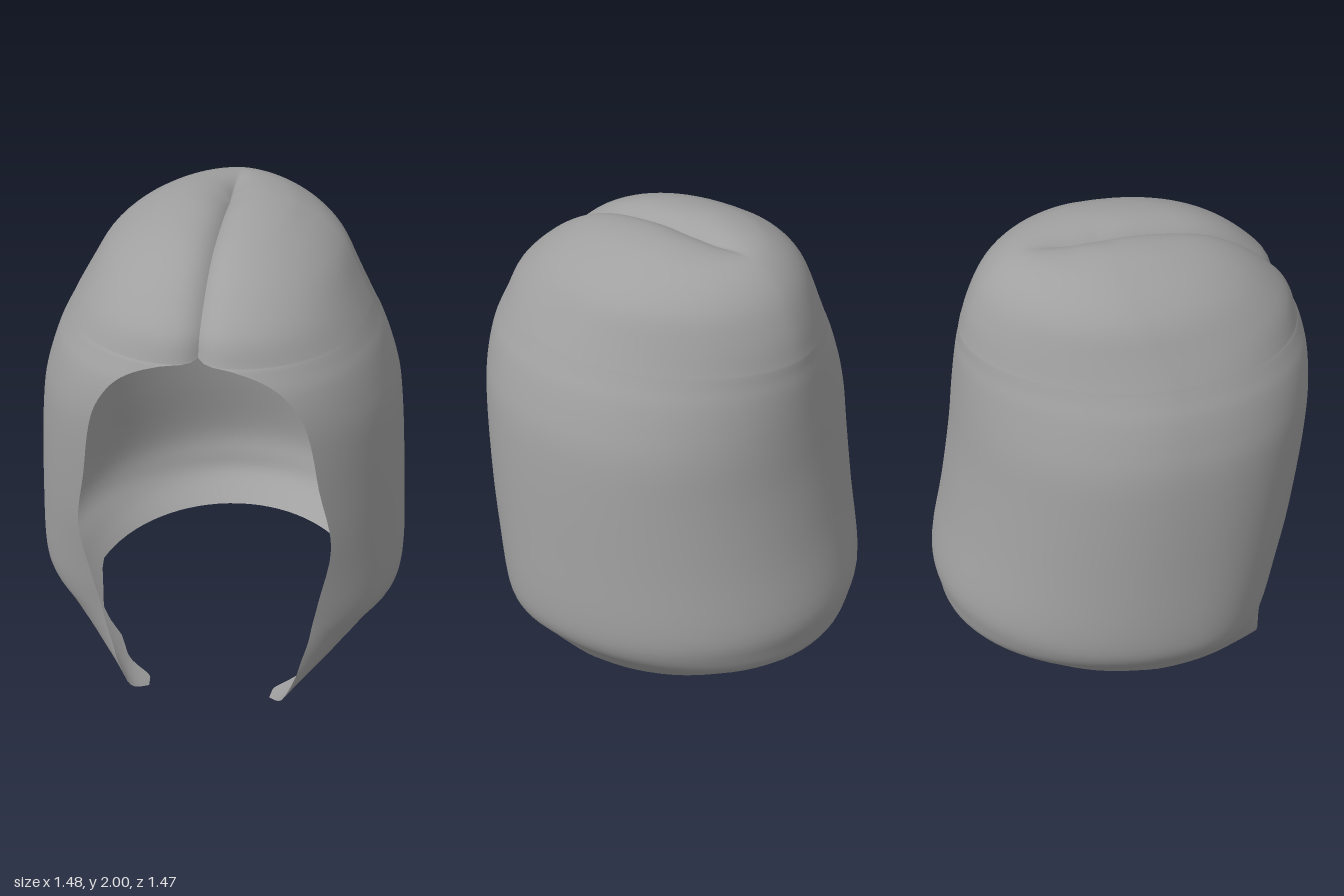
import * as THREE from 'three';

// Horizontal sections, bottom to top: y, half width, front z, back z, half width of face opening
const SECTIONS = [
  [0, .27, .50, -.50, .25], [.05, .38, .575, -.50, .31], [.15, .50, .565, -.50, .36],
  [.24, .58, .555, -.57, .385], [.33, .65, .55, -.69, .41], [.42, .72, .555, -.72, .425],
  [.55, .74, .57, -.735, .45], [.82, .73, .595, -.68, .495], [1.1, .715, .655, -.635, .45],
  [1.3, .695, .685, -.615, .42], [1.42, .665, .70, -.605, .385], [1.52, .63, .715, -.595, .32],
  [1.58, .60, .725, -.585, .24], [1.62, .58, .735, -.58, .13], [1.64, .57, .735, -.575, 0],
  [1.73, .52, .70, -.55, 0], [1.83, .46, .60, -.505, 0], [1.90, .385, .50, -.45, 0],
  [1.95, .30, .39, -.38, 0], [1.98, .23, .26, -.29, 0], [2, .13, .10, -.14, 0], [2, 0, -.03, -.03, 0],
];
// Lower hem height by depth: z, y
const HEM = [[-.8, .245], [-.05, .23], [0, .2], [.22, .15], [.28, .08], [.38, .05], [.5, 0], [.8, 0]];

const lerp = THREE.MathUtils.lerp;
const smooth = THREE.MathUtils.smoothstep;

// Smooth interpolation between sections at fractional index p
function sectionAt(p) {
  const last = SECTIONS.length - 1;
  const i = Math.min(Math.floor(p), last - 1), t = p - i;
  const [a, b, c, d] = [i - 1, i, i + 1, i + 2].map((k) => SECTIONS[Math.min(Math.max(k, 0), last)]);
  return b.map((_, k) => 0.5 * (2 * b[k] + (c[k] - a[k]) * t
    + (2 * a[k] - 5 * b[k] + 4 * c[k] - d[k]) * t * t
    + (3 * b[k] - a[k] - 3 * c[k] + d[k]) * t * t * t));
}

// Point on a section: s = 0 at the opening edge, 1 at the side, 2 at the back centre
function pointAt(p, s) {
  const [y, w, front, back, open] = sectionAt(p);
  const mid = lerp(.1, -.03, smooth(y, 1.6, 2));
  if (s <= 1) {
    // Rounded front quarter, cut off where the face opening begins
    const e = 2 / 2.3;
    const start = w > 0 ? Math.asin(Math.min(Math.max(open, 0) / w, 1) ** (1 / e)) : 0;
    const angle = lerp(start, Math.PI / 2, s);
    return new THREE.Vector3(w * Math.sin(angle) ** e, y,
      mid + (front - mid) * Math.max(Math.cos(angle) / Math.cos(start), 0) ** e);
  }
  const e = lerp(1, 1.11, smooth(y, 1.2, 1.7));
  const angle = (2 - s) * Math.PI / 2;
  return new THREE.Vector3(w * Math.sin(angle) ** e, y, mid + (back - mid) * Math.cos(angle) ** e);
}

// Section index where the hem lies for a given s
function hemIndex(s) {
  const z = pointAt(4, s).z;
  const k = HEM.findIndex((h) => h[0] > z);
  const [a, b] = [HEM[k - 1], HEM[k]];
  const y = lerp(a[1], b[1], (z - a[0]) / (b[0] - a[0]));
  const i = Math.max(SECTIONS.findIndex((r) => r[0] > y) - 1, 0);
  return i + (y - SECTIONS[i][0]) / (SECTIONS[i + 1][0] - SECTIONS[i][0]);
}

// Press the centre parting into the crown and forehead
function addParting(v) {
  const depth = .055 * Math.exp(-Math.abs(v.x) / .05) * smooth(v.z, -.36, -.12) * smooth(v.y, 1.56, 1.64);
  const dir = new THREE.Vector3(0, Math.max(v.y - 1.64, 0), v.z * .5).normalize();
  return v.addScaledVector(dir, -depth);
}

function hoodGeometry() {
  const quarter = 20, sub = 4;
  const half = [];
  for (let j = 0; j <= quarter; j++) half.push((j / quarter) ** 1.6);
  for (let j = 1; j <= quarter; j++) half.push(1 + j / quarter);
  // Columns run from the left opening edge round the back to the right one
  const columns = half.map((s) => ({ s, side: 1 }));
  for (let j = half.length - 2; j >= 0; j--) columns.push({ s: half[j], side: -1 });

  const rows = (SECTIONS.length - 1) * sub;
  const n = columns.length, positions = [], index = [];
  const hems = columns.map((c) => hemIndex(c.s));
  for (let i = 0; i <= rows; i++) {
    columns.forEach(({ s, side }, j) => {
      const v = addParting(pointAt(Math.max(i / sub, hems[j]), s));
      positions.push(v.x * side, v.y, v.z);
      if (i < rows && j < n - 1) {
        const a = i * n + j, b = a + n;
        index.push(a, a + 1, b + 1, a, b + 1, b);
      }
    });
  }
  const geometry = new THREE.BufferGeometry();
  geometry.setAttribute('position', new THREE.Float32BufferAttribute(positions, 3));
  geometry.setIndex(index);
  geometry.computeVertexNormals();
  // Vertices folded below the hem take the normal of the hem itself
  const normal = geometry.attributes.normal;
  for (let j = 0; j < n; j++) {
    const k = Math.floor(hems[j] * sub) * n + j;
    for (let m = j; m < k; m += n) normal.setXYZ(m, normal.getX(k), normal.getY(k), normal.getZ(k));
  }
  return geometry;
}

export function createModel() {
  const group = new THREE.Group();
  group.name = 'partedHair';
  const grey = new THREE.MeshStandardMaterial({ color: 0xa0a0a0, side: THREE.DoubleSide });
  grey.name = 'plain grey';
  const shell = new THREE.Mesh(hoodGeometry(), grey);
  shell.name = 'hairShell';
  group.add(shell);
  return group;
}
